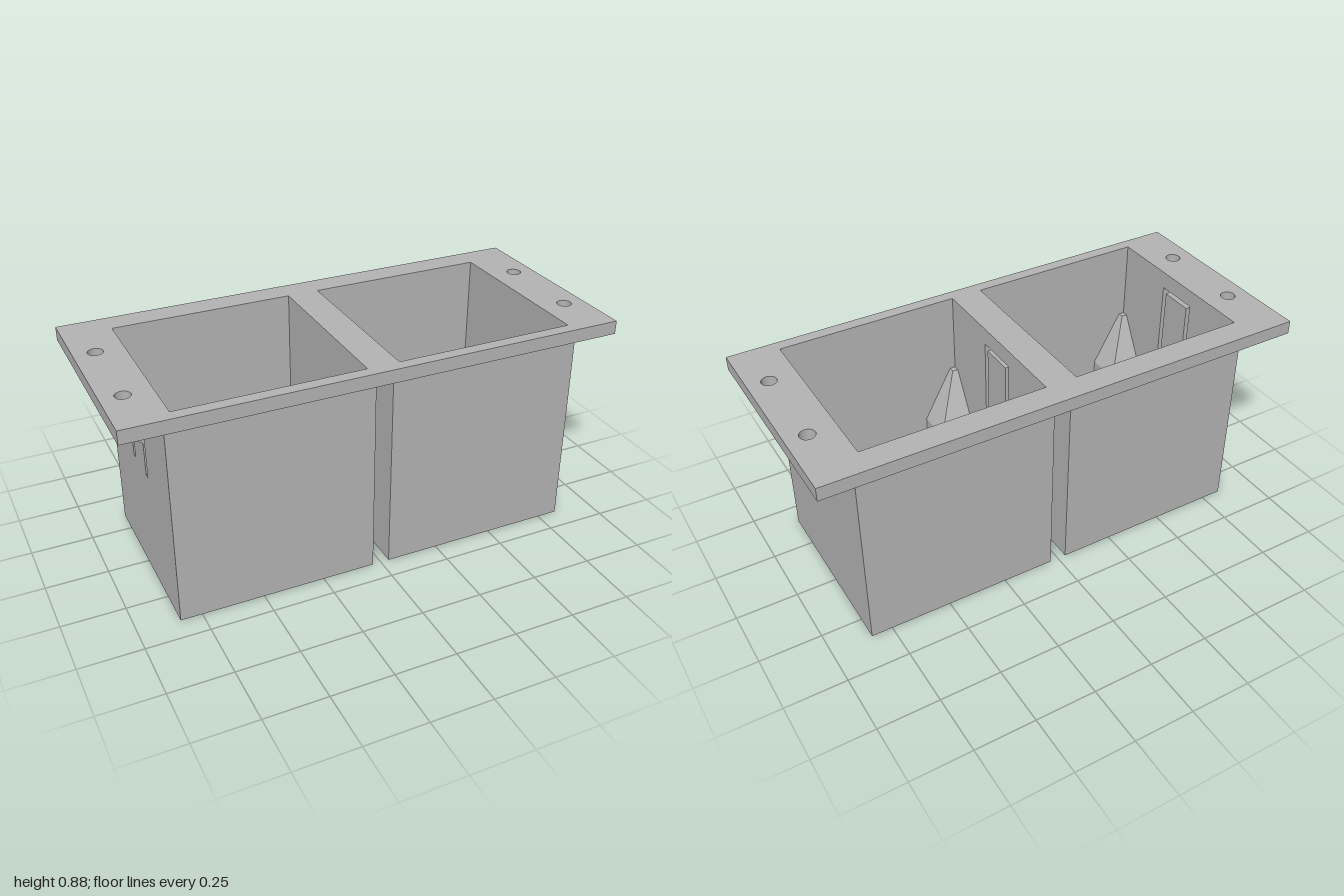
import * as THREE from 'three';
import { ConvexGeometry } from 'three/addons/geometries/ConvexGeometry.js';

const BACK = -0.35, FRONT = 0.405;       // outer walls in z
const IN_BACK = -0.335, IN_FRONT = 0.39; // inner walls in z
const PLATE_Y = 0.82, TOP = 0.875;

const poly = (pts, Type = THREE.Shape) => new Type(pts.map(([x, y]) => new THREE.Vector2(x, y)));
const rect = (x0, y0, x1, y1, Type) => poly([[x0, y0], [x1, y0], [x1, y1], [x0, y1]], Type);
const circle = (x, y, r) => new THREE.Path().absarc(x, y, r, 0, Math.PI * 2, true);
const extrude = (shape, depth) =>
  new THREE.ExtrudeGeometry(shape, { depth, bevelEnabled: false, curveSegments: 16 });

export function createModel() {
  const grey = new THREE.MeshStandardMaterial({ color: 0xb2b2b2 });
  grey.name = 'plain grey';
  const model = new THREE.Group();
  model.name = 'doubleHousing';

  const add = (parent, name, geometry) => {
    const mesh = new THREE.Mesh(geometry, grey);
    mesh.name = name;
    parent.add(mesh);
    return mesh;
  };
  const block = (parent, name, x0, x1, y0, y1, z0, z1) =>
    add(parent, name, new THREE.BoxGeometry(x1 - x0, y1 - y0, z1 - z0)
      .translate((x0 + x1) / 2, (y0 + y1) / 2, (z0 + z1) / 2));
  // plan drawn in (x, z), standing between two heights
  const upright = (parent, name, shape, y0, y1) =>
    add(parent, name, extrude(shape, y1 - y0).rotateX(Math.PI / 2).translate(0, y1, 0));

  // Mounting plate with two openings and four screw holes
  const plate = rect(-1, -0.44, 1, 0.44);
  for (const s of [-1, 1]) {
    plate.holes.push(rect(Math.min(s * 0.065, s * 0.805), IN_BACK,
      Math.max(s * 0.065, s * 0.805), IN_FRONT, THREE.Path));
    for (const z of [-0.16, 0.21]) plate.holes.push(circle(s * 0.915, z, 0.03));
  }
  upright(model, 'mountingPlate', plate, PLATE_Y, TOP);

  // Screw boss in a front corner; s points from the side wall into the box
  const addBoss = (parent, name, wallX, s) => {
    const boss = new THREE.Group();
    boss.name = name;
    parent.add(boss);
    const size = 0.147, y0 = 0.14, y1 = 0.32, tip = 0.54, r = 0.048, cut = 0.032;
    const px = (d) => wallX + s * d;
    const zIn = IN_FRONT - size;
    const body = poly([[px(0), IN_FRONT], [px(size), IN_FRONT], [px(size), zIn + cut],
      [px(size - cut), zIn], [px(0), zIn]]);
    const cx = px(size / 2), cz = IN_FRONT - size / 2;
    body.holes.push(circle(cx, cz, r));
    upright(boss, 'bossBody', body, y0, y1);
    // Countersunk lining facing into the hole
    const lining = [[0.036, y1], [0.036, y0 + 0.015], [r, y0]].map(([a, b]) => new THREE.Vector2(a, b));
    add(boss, 'bossHole', new THREE.LatheGeometry(lining, 24).translate(cx, 0, cz));
    // Tapered support leaning into the corner
    const pts = [];
    for (const [w, y] of [[size, y1], [0.024, tip]])
      for (const a of [0, w])
        for (const b of [0, w]) pts.push(new THREE.Vector3(px(a), y, IN_FRONT - b));
    add(boss, 'bossTaper', new ConvexGeometry(pts));
  };

  // Two open boxes, each with a snap clip in its -x wall
  for (const [name, x0, x1] of [['rightBox', -0.835, -0.035], ['leftBox', 0.035, 0.835]]) {
    const box = new THREE.Group();
    box.name = name;
    model.add(box);
    const a = x0 + 0.03, b = x1 - 0.03;
    block(box, 'frontWall', a, b, 0, PLATE_Y, IN_FRONT, FRONT);
    block(box, 'backWall', a, b, 0, PLATE_Y, BACK, IN_BACK);
    block(box, 'sideWall', b, x1, 0, PLATE_Y, BACK, FRONT);

    // Side wall with an inverted U slot that frees the clip tongue
    const wall = rect(BACK, 0, FRONT, PLATE_Y);
    wall.holes.push(poly([[-0.06, 0.465], [-0.06, 0.805], [0.12, 0.805], [0.12, 0.465],
      [0.1, 0.465], [0.1, 0.785], [-0.04, 0.785], [-0.04, 0.465]], THREE.Path));
    add(box, 'clipWall', extrude(wall, 0.03).rotateY(-Math.PI / 2).translate(a, 0, 0));

    // Hook on the tongue
    const hook = poly([[x0, 0.6], [x0, 0.77], [x0 - 0.027, 0.745], [x0 - 0.027, 0.62]]);
    add(box, 'clipHook', extrude(hook, 0.14).translate(0, 0, -0.04));

    addBoss(box, 'rightBoss', a, 1);
    addBoss(box, 'leftBoss', b, -1);
  }
  return model;
}
